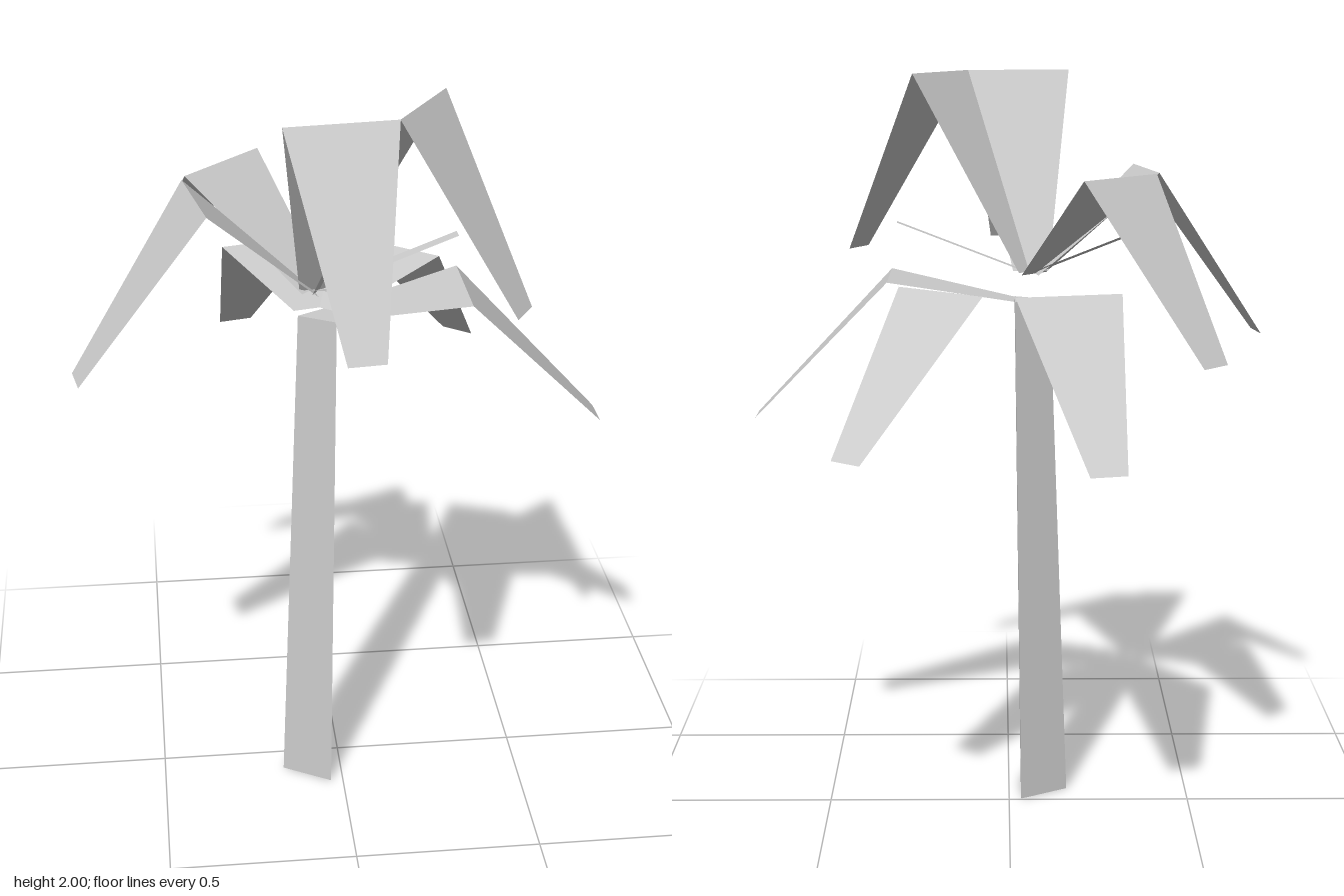
import * as THREE from 'three';

const RAD = Math.PI / 180;
const CROWN = { x: -0.06, z: 0.08 }; // axis the leaves radiate from

// Thin folded strip along +x: each section is [distance, height, half width]
function strip(sections, material) {
  const positions = [];
  const index = [];
  sections.forEach(([r, y, w], i) => {
    positions.push(r, y, -w, r, y, w);
    if (i > 0) {
      const a = 2 * (i - 1);
      index.push(a, a + 1, a + 2, a + 1, a + 3, a + 2);
    }
  });
  const indexed = new THREE.BufferGeometry();
  indexed.setAttribute('position', new THREE.Float32BufferAttribute(positions, 3));
  indexed.setIndex(index);
  const geometry = indexed.toNonIndexed();
  geometry.computeVertexNormals();
  return new THREE.Mesh(geometry, material);
}

export function createModel() {
  const model = new THREE.Group();
  model.name = 'palmTree';

  const grey = new THREE.MeshStandardMaterial({ color: 0xcccccc, side: THREE.DoubleSide, flatShading: true });
  grey.name = 'light grey';

  // Three-sided trunk, tapered and leaning slightly towards +x
  const height = 1.405;
  const trunkGeometry = new THREE.CylinderGeometry(0.063, 0.086, height, 3, 1, false, -Math.PI / 2);
  trunkGeometry.translate(0, height / 2, 0);
  const p = trunkGeometry.attributes.position;
  for (let i = 0; i < p.count; i++) p.setX(i, p.getX(i) + 0.03 * p.getY(i) / height);
  trunkGeometry.computeVertexNormals();
  const trunk = new THREE.Mesh(trunkGeometry, grey);
  trunk.name = 'trunk';
  trunk.position.set(-0.077, 0, 0.08);
  model.add(trunk);

  // Place a strip around the crown; angles run from +x towards +z
  const addAround = (name, angle, sections) => {
    const mesh = strip(sections, grey);
    mesh.name = name;
    mesh.position.set(CROWN.x, 0, CROWN.z);
    mesh.rotation.y = -angle * RAD;
    model.add(mesh);
  };

  // Three tiers of fronds: each rises from the crown, then folds down to the tip
  const tiers = [
    { name: 'lowFrond', angles: [0, -51.5, -103.5], sections: [[0.045, 1.405, 0.048], [0.38, 1.47, 0.139], [0.745, 1.09, 0.047]] },
    { name: 'middleFrond', angles: [-136, 170], sections: [[0.01, 1.475, 0.048], [0.312, 1.75, 0.142], [0.63, 1.3, 0.047]] },
    { name: 'highFrond', angles: [83.5, 31], sections: [[0.01, 1.48, 0.048], [0.283, 2, 0.14], [0.56, 1.51, 0.047]] },
  ];
  for (const { name, angles, sections } of tiers) {
    angles.forEach((angle) => addAround(name, angle, sections));
    // One narrow young shoot under the first frond of each tier
    addAround('shoot', angles[0], [[0, 1.475, 0.018], [0.358, 1.613, 0.018]]);
  }

  return model;
}
